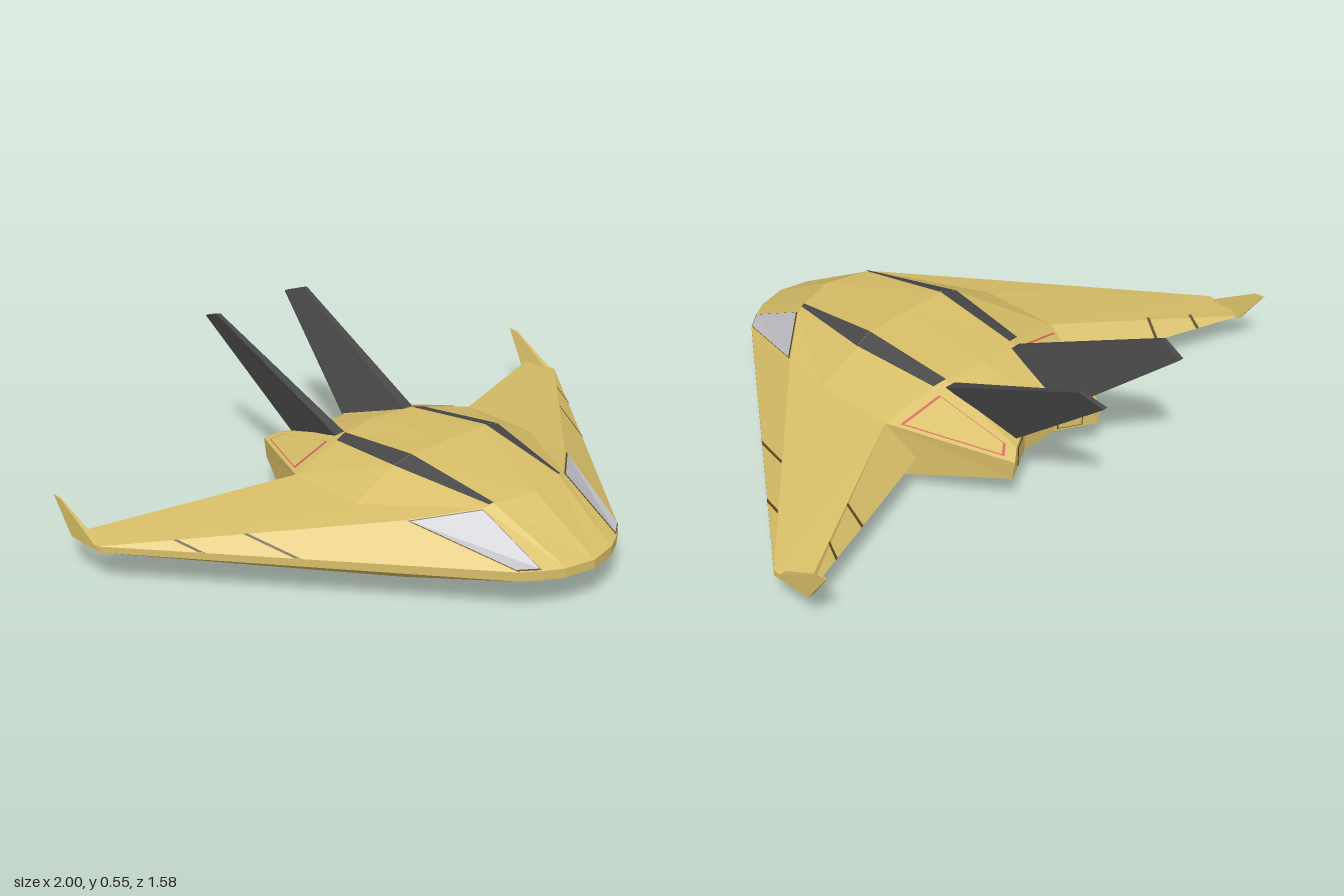
import * as THREE from 'three';

const mat = (color) => new THREE.MeshStandardMaterial({ color, flatShading: true });
const GOLD = mat(0xd8be68), DARK = mat(0x484848), GLASS = mat(0xc0c0c6);
const SEAM = mat(0x5a4a20), RED = mat(0xd0625a);

// Flat-shaded mesh from convex polygons given as corner lists; x is flipped for the right side
function polyMesh(name, polys, material, flip = false) {
  const pos = [];
  const put = (p) => pos.push(flip ? -p[0] : p[0], p[1], p[2]);
  for (const p of polys) {
    for (let i = 1; i < p.length - 1; i++) {
      const tri = [p[0], p[i], p[i + 1]];
      (flip ? tri.reverse() : tri).forEach(put);
    }
  }
  const geo = new THREE.BufferGeometry();
  geo.setAttribute('position', new THREE.Float32BufferAttribute(pos, 3));
  geo.computeVertexNormals();
  const mesh = new THREE.Mesh(geo, material);
  mesh.name = name;
  return mesh;
}

const mix = (a, b, t) => a.map((v, i) => v + (b[i] - v) * t);

// Shrinks a polygon about its centre and lifts it off the surface
function inset(pts, scale, lift) {
  const c = [0, 1, 2].map((k) => pts.reduce((s, p) => s + p[k], 0) / pts.length);
  const v = pts.map((p) => new THREE.Vector3(...p));
  const n = new THREE.Vector3();
  for (let i = 1; i < v.length - 1; i++) {
    n.add(v[i].clone().sub(v[0]).cross(v[i + 1].clone().sub(v[0])));
  }
  n.normalize().multiplyScalar(lift);
  return pts.map((p) => mix(c, p, scale).map((q, k) => q + n.getComponent(k)));
}

// Fore-and-aft lines of the upper hull, from the centre outwards, nose to tail
const TOP = [
  [[0, .145, .79], [0, .28, .55], [0, .332, .18], [0, .297, -.16], [0, .205, -.4]],
  [[.1, .145, .768], [.14, .278, .51], [.16, .33, .18], [.145, .293, -.14], [.07, .205, -.4]],
  [[.16, .145, .735], [.175, .268, .5], [.225, .31, .17], [.19, .283, -.13], [.16, .2, -.45]],
  [[.22, .145, .69], [.35, .235, .35], [.38, .235, .17], [.38, .235, -.11], [.2, .18, -.48]],
];
// Matching lines of the underside
const BOTTOM = [
  [[0, .115, .79], [0, 0, .3], [0, 0, .17], [0, 0, -.1], [0, .115, -.4]],
  [[.1, .115, .768], [.14, .008, .3], [.14, .008, .17], [.14, .008, -.1], [.07, .115, -.4]],
  [[.16, .115, .735], [.28, .02, .3], [.28, .02, .17], [.28, .02, -.1], [.16, .115, -.45]],
  [[.22, .115, .69], [.36, .05, .35], [.38, .045, .17], [.38, .045, -.11], [.2, .115, -.47]],
];

// Hull half: skin between neighbouring lines, plus nose band and tail face
function hullPolys() {
  const polys = [];
  const ring = [...TOP, ...[...BOTTOM].reverse()];
  for (let i = 0; i < ring.length - 1; i++) {
    for (let j = 0; j < 4; j++) {
      polys.push([ring[i][j], ring[i + 1][j], ring[i + 1][j + 1], ring[i][j + 1]]);
    }
  }
  for (let i = 0; i < 3; i++) {
    polys.push([TOP[i][0], BOTTOM[i][0], BOTTOM[i + 1][0], TOP[i + 1][0]]);
    polys.push(tailFace(i));
  }
  return polys;
}
const tailFace = (i) => [TOP[i][4], TOP[i + 1][4], BOTTOM[i + 1][4], BOTTOM[i][4]];

// Wing corners: leading tip top and bottom, ridge end, trailing tip, trailing root
const LT = [1, .14, -.29], LB = [1, .12, -.29], KT = [.98, .14, -.41];
const KR = [1, .122, -.425], ROOT = [.336, .125, -.2];

function wingPolys() {
  const [s0, s1, s2, s3] = TOP[3], [b0, b1, b2, b3] = BOTTOM[3];
  return [
    [s0, LT, s1],
    [LT, KT, s3, s2, s1],
    [s3, KT, KR, ROOT],
    [s0, b0, LB, LT],
    [LB, b0, b1, b2, b3, ROOT, KR],
    [LT, LB, KR, KT],
  ];
}

// Solid blade from a side outline [z, y, inner x, outer x]
function bladePolys(outline) {
  const outer = outline.map(([z, y, , o]) => [o, y, z]);
  const inner = outline.map(([z, y, i]) => [i, y, z]);
  const polys = [outer, [...inner].reverse()];
  outline.forEach((_, i) => {
    const k = (i + 1) % outline.length;
    polys.push([outer[i], inner[i], inner[k], outer[k]]);
  });
  return polys;
}
const FIN = [[-.16, .285, .13, .168], [-.41, .195, .085, .13], [-.79, .52, .163, .18], [-.71, .548, .18, .195]];
const WINGLET = [[-.29, .125, .978, 1], [-.43, .122, .975, 1], [-.51, .235, .996, 1], [-.475, .232, .996, 1]];

// Thin seams across the leading facet and the trailing bevel
function seamPolys() {
  const s0 = TOP[3][0], s1 = TOP[3][1], s3 = TOP[3][3];
  const polys = [];
  for (const t of [.51, .74]) {
    const u = t + .016;
    polys.push(inset([mix(s0, LT, t), mix(s0, LT, u), mix(s1, LT, u), mix(s1, LT, t)], 1, .002));
    polys.push(inset([mix(s3, KT, t), mix(s3, KT, u), mix(ROOT, KR, u), mix(ROOT, KR, t)], 1, .002));
  }
  return polys;
}

export function createModel() {
  const model = new THREE.Group();
  model.name = 'spacecraft';
  const [, T, E, S] = TOP;

  for (const flip of [false, true]) {
    const side = new THREE.Group();
    side.name = flip ? 'rightSide' : 'leftSide';
    const add = (name, polys, material) => side.add(polyMesh(name, polys, material, flip));

    add('hull', hullPolys(), GOLD);
    add('wing', wingPolys(), GOLD);
    add('wingSeams', seamPolys(), SEAM);
    add('winglet', bladePolys(WINGLET), GOLD);
    add('tailFin', bladePolys(FIN), DARK);

    // Cockpit side window in a dark frame
    const pane = [E[0], S[0], S[1], E[1]];
    add('windowFrame', [inset(pane, .97, .002)], SEAM);
    add('window', [inset(pane, .93, .004)], GLASS);

    // Dark strip along the roof bevel
    add('roofStrip', [
      inset([T[1], mix(T[1], E[1], .4), E[2], T[2]], 1, .003),
      inset([T[2], E[2], E[3], T[3]], 1, .003),
    ], DARK);

    // Red-edged panel on the engine pod
    const pod = [E[3], S[3], S[4], E[4]];
    add('podPanelEdge', [inset(pod, .8, .002)], RED);
    add('podPanel', [inset(pod, .75, .004)], GOLD);

    // Engine outlet on the tail
    add('outletEdge', [inset(tailFace(1), .82, .002)], SEAM);
    add('outlet', [inset(tailFace(1), .74, .004)], GOLD);
    model.add(side);
  }
  return model;
}
